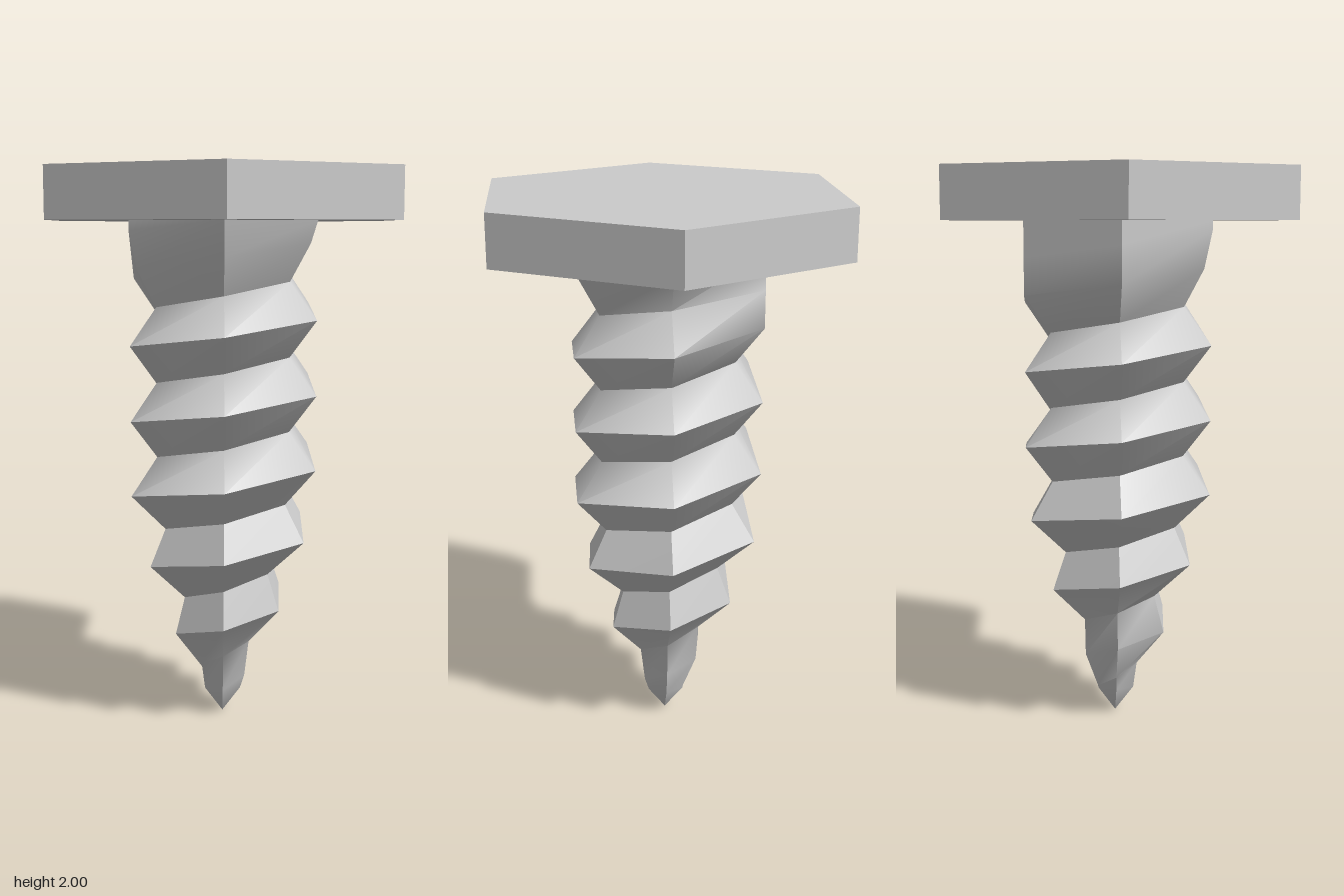
import * as THREE from 'three';
import { toCreasedNormals } from 'three/addons/utils/BufferGeometryUtils.js';

const PITCH = 0.265, BOTTOM = 0.1, TOP = 1.82;

// Radius against height, for the crest and for the root of the thread
const CREST = [[0.1, 0.075], [0.2, 0.11], [0.24, 0.13], [0.284, 0.16], [0.33, 0.2], [0.46, 0.25],
  [0.59, 0.3], [0.72, 0.345], [0.86, 0.375], [1.615, 0.375], [1.65, 0.345], [1.7, 0.34], [1.79, 0.358], [1.82, 0.375]];
const ROOT = [[0.1, 0.075], [0.2, 0.09], [0.28, 0.11], [0.33, 0.12], [0.46, 0.16], [0.59, 0.2],
  [0.73, 0.24], [0.86, 0.265], [0.99, 0.27], [1.66, 0.27], [1.69, 0.375], [1.82, 0.375]];

function radiusAt(table, y) {
  for (let i = 1; i < table.length; i++) {
    const [y0, r0] = table[i - 1], [y1, r1] = table[i];
    if (y <= y1) return THREE.MathUtils.mapLinear(y, y0, y1, r0, r1);
  }
  return table[table.length - 1][1];
}

// Point at step n of a six-sided helix, held between the tip ring and the head
function helixPoint(table, n, lift) {
  const y = THREE.MathUtils.clamp(0.328 + n * PITCH / 6 + lift, BOTTOM, TOP);
  const r = radiusAt(table, y), a = n * Math.PI / 3;
  return new THREE.Vector3(-r * Math.cos(a), y, r * Math.sin(a));
}
const crest = n => helixPoint(CREST, n, 0);
const root = n => helixPoint(ROOT, n, PITCH / 2);

function threadGeometry() {
  const positions = [];
  const triangle = (a, b, c) => {
    const area = b.clone().sub(a).cross(c.clone().sub(a)).length();
    if (area < 1e-7) return;
    for (const p of [a, b, c]) positions.push(p.x, p.y, p.z);
  };
  const quad = (a, b, c, d) => { triangle(a, b, c); triangle(a, c, d); };

  // Upper and lower flank of each thread step
  for (let n = -18; n < 42; n++) {
    quad(crest(n), crest(n + 1), root(n + 1), root(n));
    quad(root(n), root(n + 1), crest(n + 7), crest(n + 6));
  }
  // Pointed tip
  const tip = new THREE.Vector3(0, 0, 0);
  for (let n = -18; n < -12; n++) triangle(tip, crest(n + 1), crest(n));

  const geometry = new THREE.BufferGeometry();
  geometry.setAttribute('position', new THREE.Float32BufferAttribute(positions, 3));
  return toCreasedNormals(geometry, 0.85);
}

export function createModel() {
  const group = new THREE.Group();
  group.name = 'hexScrew';

  // Hexagonal head with corners on the x axis
  const head = new THREE.Mesh(
    new THREE.CylinderGeometry(0.687, 0.687, 2 - TOP, 6, 1, false, Math.PI / 2),
    new THREE.MeshStandardMaterial({ color: 0xcccccc, flatShading: true }));
  head.name = 'head';
  head.position.y = (2 + TOP) / 2;

  // Shank, thread and tip in one skin
  const shank = new THREE.Mesh(threadGeometry(), new THREE.MeshStandardMaterial({ color: 0xcccccc }));
  shank.name = 'threadedShank';

  group.add(head, shank);
  return group;
}
